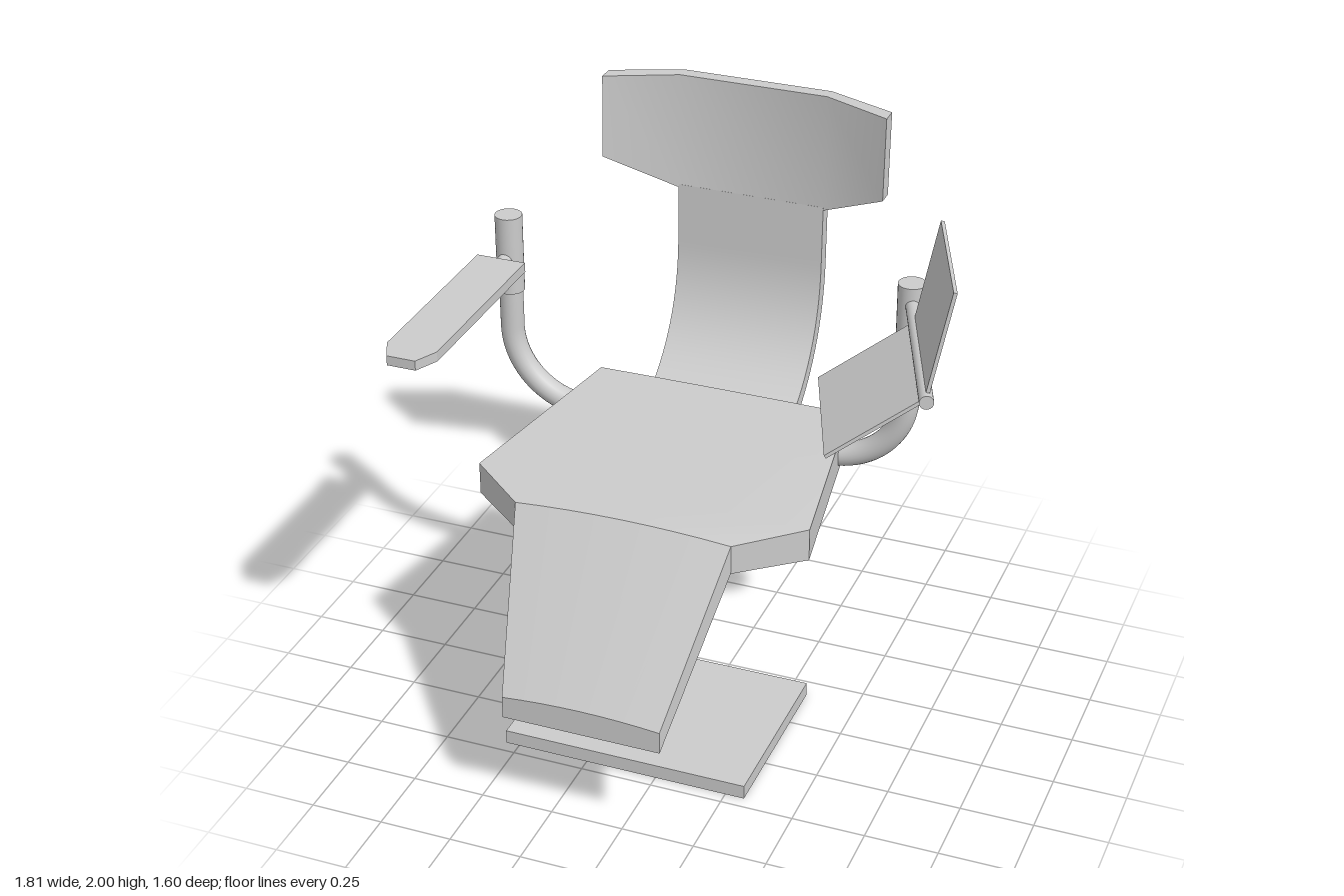
import * as THREE from 'three';
import { toCreasedNormals } from 'three/addons/utils/BufferGeometryUtils.js';

const CX = -0.115; // centre line of the chair
const V = (x, y, z) => new THREE.Vector3(x, y, z);
const material = new THREE.MeshStandardMaterial({ color: 0xcccccc });

function add(parent, name, geometry) {
  const mesh = new THREE.Mesh(geometry, material);
  mesh.name = name;
  parent.add(mesh);
  return mesh;
}

// Skin closed rings of points (counter-clockwise seen from ahead) and cap both ends
function loft(rings) {
  const n = rings[0].length, last = (rings.length - 1) * n, index = [];
  for (let i = 0; i < rings.length - 1; i++) {
    for (let j = 0; j < n; j++) {
      const a = i * n + j, b = i * n + (j + 1) % n;
      index.push(a, b, b + n, a, b + n, a + n);
    }
  }
  for (let j = 1; j < n - 1; j++) {
    index.push(0, j + 1, j, last, last + j, last + j + 1);
  }
  const geometry = new THREE.BufferGeometry().setFromPoints(rings.flat());
  geometry.setIndex(index);
  return toCreasedNormals(geometry, 0.5);
}

// Straight round bar between two points
function bar(parent, name, from, to, radius) {
  const mesh = add(parent, name, new THREE.CylinderGeometry(radius, radius, from.distanceTo(to), 24));
  mesh.position.copy(from).lerp(to, 0.5);
  mesh.quaternion.setFromUnitVectors(V(0, 1, 0), to.clone().sub(from).normalize());
  return mesh;
}

function box(parent, name, w, h, d, x, y, z) {
  const mesh = add(parent, name, new THREE.BoxGeometry(w, h, d));
  mesh.position.set(x, y, z);
  return mesh;
}

export function createModel() {
  const chair = new THREE.Group();
  chair.name = 'chair';

  // Base plate and leaning column
  box(chair, 'basePlate', 0.863, 0.05, 0.63, CX, 0.025, 0.142);
  bar(chair, 'column', V(CX, 0.03, 0.14), V(CX, 0.9, -0.043), 0.066);

  // Seat flowing into the leg rest: z, half width, bottom, top, crown
  const seatRings = [
    [-0.48, 0.457, 0.86, 0.978, 0.002],
    [0.27, 0.577, 0.86, 0.978, 0.004],
    [0.435, 0.372, 0.86, 0.978, 0.016],
    [0.802, 0.272, 0.383, 0.475, 0.014],
  ].map(([z, w, bottom, top, crown]) => {
    const ring = [V(CX - w, bottom, z), V(CX + w, bottom, z)];
    for (let i = 0; i <= 8; i++) {
      const s = 1 - i / 4;
      ring.push(V(CX + s * w, top - crown * s * s, z));
    }
    return ring;
  });
  add(chair, 'seatAndLegRest', loft(seatRings));

  // Curved backrest strip
  const backCurve = new THREE.CurvePath();
  backCurve.add(new THREE.CubicBezierCurve3(
    V(0, 0.9, -0.44), V(0, 0.985, -0.62), V(0, 1.15, -0.752), V(0, 1.4, -0.755)));
  backCurve.add(new THREE.LineCurve3(V(0, 1.4, -0.755), V(0, 1.6, -0.762)));
  const backRings = [];
  for (let i = 0; i <= 22; i++) {
    const p = backCurve.getPoint(i / 22), t = backCurve.getTangent(i / 22);
    const dz = t.y * 0.024, dy = -t.z * 0.024;
    backRings.push([[-1, 1], [1, 1], [1, -1], [-1, -1]].map(([sx, sf]) =>
      V(CX + sx * 0.263, p.y + sf * dy, p.z + sf * dz)));
  }
  add(chair, 'backrest', loft(backRings));

  // Headrest with forward-swept wings: x, bottom y, front/back z at bottom and top
  const headRings = [
    [-0.503, 1.71, -0.635, -0.692, -0.648, -0.706],
    [-0.263, 1.59, -0.738, -0.786, -0.753, -0.802],
    [0.263, 1.59, -0.738, -0.786, -0.753, -0.802],
    [0.503, 1.71, -0.635, -0.692, -0.648, -0.706],
  ].map(([x, y, f0, b0, f1, b1]) =>
    [V(CX + x, y, b0), V(CX + x, 2, b1), V(CX + x, 2, f1), V(CX + x, y, f0)]);
  add(chair, 'headrest', loft(headRings));

  // Mirrored bent posts with sleeves
  const armZ = -0.31, reach = 0.712;
  for (const [side, label] of [[-1, 'right'], [1, 'left']]) {
    const x = CX + side * reach, bendX = x - side * 0.27;
    const path = new THREE.CurvePath();
    path.add(new THREE.LineCurve3(V(CX + side * 0.38, 0.913, armZ), V(bendX, 0.913, armZ)));
    const k = 0.27 * 0.5523;
    path.add(new THREE.CubicBezierCurve3(
      V(bendX, 0.913, armZ), V(bendX + side * k, 0.913, armZ),
      V(x, 1.183 - k, armZ), V(x, 1.183, armZ)));
    path.add(new THREE.LineCurve3(V(x, 1.183, armZ), V(x, 1.4, armZ)));
    add(chair, label + 'ArmPost', new THREE.TubeGeometry(path, 40, 0.041, 20));
    bar(chair, label + 'ArmSleeve', V(x, 1.32, armZ), V(x, 1.6, armZ), 0.047);
  }

  // Right armrest board with a chamfered tip, on a short stub
  const rx = CX - reach;
  bar(chair, 'armrestStub', V(rx, 1.445, armZ), V(rx, 1.445, -0.2), 0.025);
  const board = new THREE.Shape([
    [-0.088, 0.225], [0.088, 0.225], [0.088, -0.45], [0.05, -0.53], [-0.05, -0.53], [-0.088, -0.45],
  ].map(([x, y]) => new THREE.Vector2(x, y)));
  const armrest = add(chair, 'armrest',
    new THREE.ExtrudeGeometry(board, { depth: 0.034, bevelEnabled: false }));
  armrest.rotation.x = -Math.PI / 2;
  armrest.position.set(rx + 0.007, 1.44, 0);

  // Left folding tray: a rod carrying two hinged panels
  const tray = new THREE.Group();
  tray.name = 'foldingTray';
  tray.position.set(CX + reach, 1.535, armZ);
  tray.rotation.set(-0.017, 0.365, 0, 'YXZ');
  chair.add(tray);
  bar(tray, 'trayRod', V(0, 0, 0), V(0, 0, 0.69), 0.023);
  for (const [name, x, y] of [['lowerPanel', -0.3, -0.2], ['upperPanel', 0.073, 0.355]]) {
    const panel = box(tray, name, Math.hypot(x, y), 0.012, 0.51, x / 2, y / 2, 0.412);
    panel.rotation.z = Math.atan2(y, x);
  }

  return chair;
}
